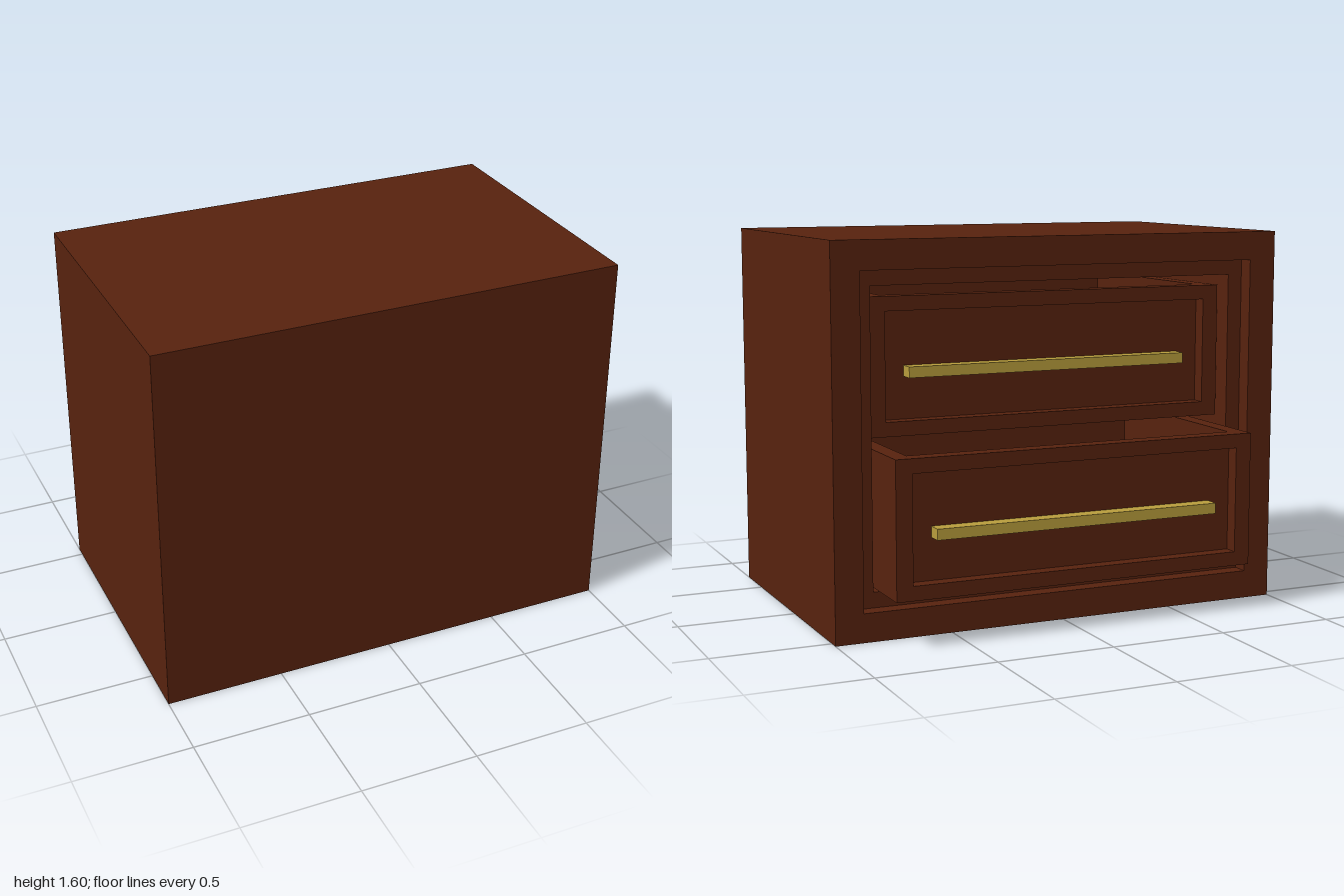
import * as THREE from 'three';

const wood = new THREE.MeshStandardMaterial({ color: 0x57220e });
wood.name = 'dark wood';
const brass = new THREE.MeshStandardMaterial({ color: 0xb89d3c });
brass.name = 'brass';

// Box given by its minimum and maximum corners
function box(name, [x0, y0, z0], [x1, y1, z1], material = wood) {
  const mesh = new THREE.Mesh(new THREE.BoxGeometry(x1 - x0, y1 - y0, z1 - z0), material);
  mesh.position.set((x0 + x1) / 2, (y0 + y1) / 2, (z0 + z1) / 2);
  mesh.name = name;
  return mesh;
}

function rectangle(path, halfWidth, y0, y1) {
  path.moveTo(-halfWidth, y0);
  path.lineTo(halfWidth, y0);
  path.lineTo(halfWidth, y1);
  path.lineTo(-halfWidth, y1);
  path.closePath();
  return path;
}

// Rectangular frame with an opening; outer and inner are [halfWidth, y0, y1]
function frame(name, outer, inner, z0, z1) {
  const shape = rectangle(new THREE.Shape(), ...outer);
  shape.holes.push(rectangle(new THREE.Path(), ...inner));
  const geometry = new THREE.ExtrudeGeometry(shape, { depth: z1 - z0, bevelEnabled: false });
  const mesh = new THREE.Mesh(geometry, wood);
  mesh.position.z = z0;
  mesh.name = name;
  return mesh;
}

// Open-topped drawer; its face lies at local z = 0 and its body runs towards +z
function createDrawer(name, y, z) {
  const drawer = new THREE.Group();
  drawer.name = name;
  const w = 0.8, h = 0.567, wall = 0.07, length = 1.07;
  drawer.add(
    frame('drawerFaceFrame', [w, 0, h], [w - wall, 0.06, h - 0.06], 0, 0.06),
    box('drawerFacePanel', [-w, 0, 0.06], [w, h, wall]),
    box('drawerFloor', [-w + wall, 0, wall], [w - wall, wall, length - wall]),
    box('drawerBack', [-w, 0, length - wall], [w, h, length]),
    box('drawerHandle', [-0.63, 0.235, -0.005], [0.63, 0.28, 0.06], brass),
  );
  for (const side of [-1, 1]) {
    const x = side * (w - wall / 2);
    drawer.add(box('drawerSide', [x - wall / 2, 0, wall], [x + wall / 2, h, length - wall]));
  }
  drawer.position.set(0, y, z);
  return drawer;
}

export function createModel() {
  const cabinet = new THREE.Group();
  cabinet.name = 'cabinet';

  // Carcass: stepped opening on one face, closed on the other
  const outer = [1, 0, 1.6];
  cabinet.add(
    frame('outerFrame', outer, [0.88, 0.12, 1.48], -0.545, -0.475),
    frame('carcass', outer, [0.815, 0.185, 1.415], -0.475, 0.67),
    box('closedPanel', [-1, 0, 0.67], [1, 1.6, 0.705]),
  );

  // Lower drawer pulled out, upper drawer closed
  cabinet.add(
    createDrawer('lowerDrawer', 0.193, -0.704),
    createDrawer('upperDrawer', 0.8, -0.41),
  );
  return cabinet;
}
